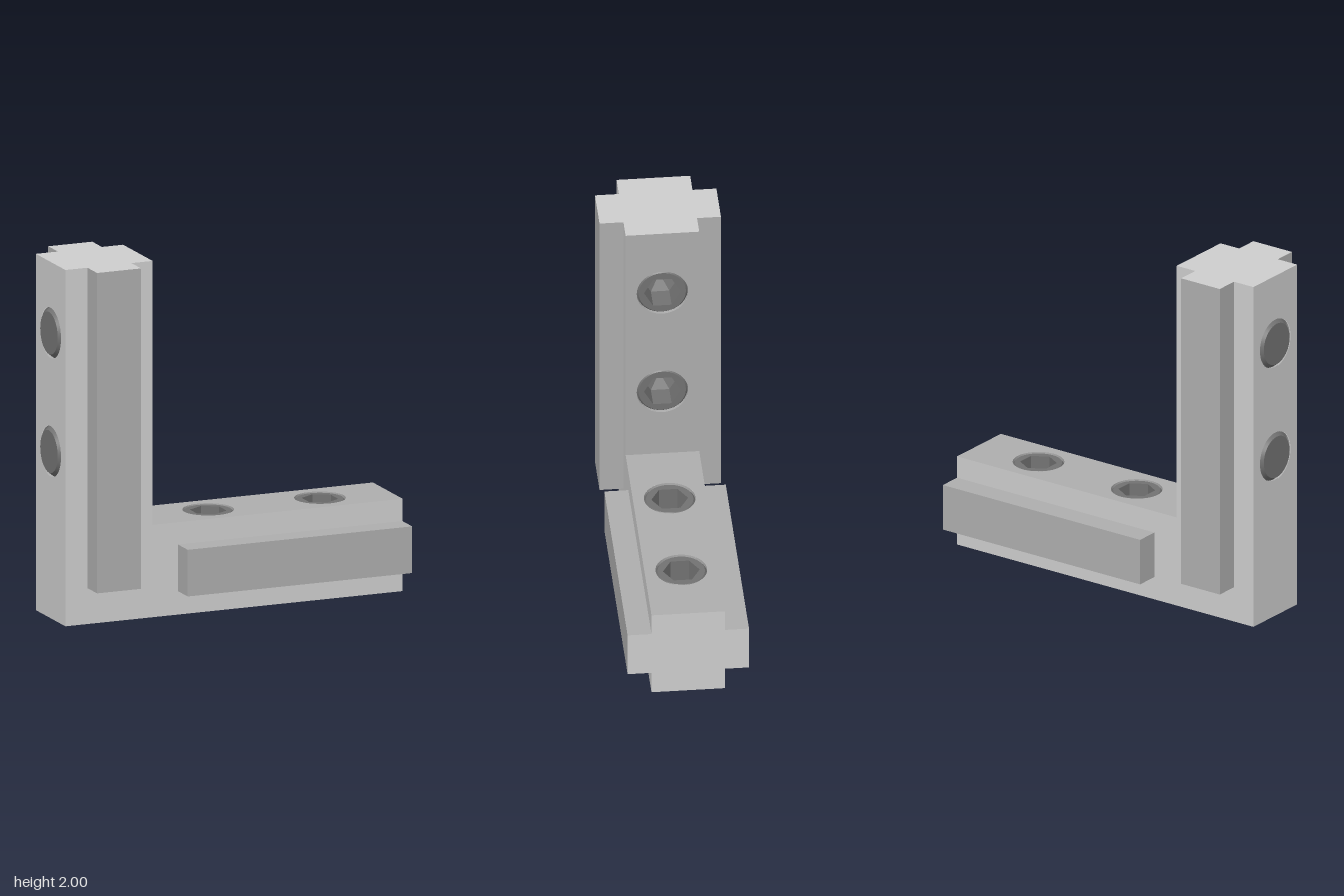
import * as THREE from 'three';
import { toCreasedNormals } from 'three/addons/utils/BufferGeometryUtils.js';

const X0 = -0.99, X1 = 1, XI = -0.475;   // outer, end and inner x of the bracket
const Y0 = 0.015, Y1 = 2, YI = 0.53;     // outer, end and inner y of the bracket
const HALF = 0.2, RAIL = 0.33;           // half depth of the core and of the rails
const HOLE = 0.14;
const UPRIGHT_HOLES = [0.945, 1.605], FOOT_HOLES = [-0.06, 0.6];

function material(name, color) {
  const m = new THREE.MeshStandardMaterial({ color, side: THREE.DoubleSide });
  m.name = name;
  return m;
}

export function createModel() {
  const light = material('light grey metal', 0xcdcdcd);
  const mid = material('mid grey metal', 0xadadad);
  const dark = material('dark grey screw', 0x727272);

  const model = new THREE.Group();
  model.name = 'cornerBracket';

  const add = (parent, name, geometry, mat) => {
    const mesh = new THREE.Mesh(geometry, mat);
    mesh.name = name;
    parent.add(mesh);
    return mesh;
  };

  // Flat rectangular face with round holes
  const panel = (name, mat, [ax, ay, bx, by], holes = []) => {
    const shape = new THREE.Shape([[ax, ay], [bx, ay], [bx, by], [ax, by]].map(p => new THREE.Vector2(...p)));
    for (const [x, y] of holes) {
      shape.holes.push(new THREE.Path().absarc(x, y, HOLE, 0, Math.PI * 2, true));
    }
    return add(model, name, new THREE.ShapeGeometry(shape, 24), mat);
  };

  // L-shaped side faces
  const outline = new THREE.Shape([
    [X0, Y0], [X1, Y0], [X1, YI], [XI, YI], [XI, Y1], [X0, Y1],
  ].map(p => new THREE.Vector2(...p)));
  for (const s of [1, -1]) {
    const side = add(model, s > 0 ? 'frontFace' : 'backFace', new THREE.ShapeGeometry(outline), light);
    side.position.z = s * HALF;
    if (s < 0) side.geometry.scale(-1, 1, 1), side.rotation.y = Math.PI, side.geometry.index.array.reverse();
  }

  // Faces across the depth of the upright and the foot
  const upright = (name, mat, x, y0, y1, dir, holes) => {
    const p = panel(name, mat, [-HALF, y0, HALF, y1], holes.map(y => [0, y]));
    p.position.x = x;
    p.rotation.y = dir * Math.PI / 2;
  };
  const foot = (name, mat, y, x0, x1, dir, holes) => {
    const p = panel(name, mat, [x0, -HALF, x1, HALF], holes.map(x => [x, 0]));
    p.position.y = y;
    p.rotation.x = -dir * Math.PI / 2;
  };
  upright('uprightOuterFace', light, X0, Y0, Y1, -1, UPRIGHT_HOLES);
  upright('uprightInnerFace', mid, XI, YI, Y1, 1, UPRIGHT_HOLES);
  upright('footEnd', light, X1, Y0, YI, 1, []);
  foot('footOuterFace', light, Y0, X0, X1, -1, FOOT_HOLES);
  foot('footInnerFace', mid, YI, XI, X1, 1, FOOT_HOLES);
  foot('uprightEnd', light, Y1, X0, XI, 1, []);

  // Slot rails on both sides, each with its free end in the light colour
  const rail = (name, x0, y0, x1, y1, endFace) => {
    for (const s of [1, -1]) {
      const mats = Array(6).fill(mid);
      mats[endFace] = light;
      const mesh = add(model, name, new THREE.BoxGeometry(x1 - x0, y1 - y0, RAIL - HALF), mats);
      mesh.position.set((x0 + x1) / 2, (y0 + y1) / 2, s * (HALF + RAIL) / 2);
    }
  };
  rail('uprightRail', -0.86, 0.215, -0.6, Y1, 2);
  rail('footRail', -0.325, 0.145, X1, 0.405, 0);

  // Set screw: chamfered shaft, hexagonal socket with a conical floor
  const screw = (length) => {
    const g = new THREE.Group();
    g.name = 'setScrew';
    const top = length - 0.004, depth = 0.13, hexR = 0.1, coneH = 0.045;
    const profile = [[0, 0], [0.118, 0], [0.139, 0.026], [0.139, top - 0.014], [0.128, top]]
      .map(p => new THREE.Vector2(...p));
    add(g, 'shaft', toCreasedNormals(new THREE.LatheGeometry(profile, 40), 0.5), dark);

    const ring = new THREE.Shape().absarc(0, 0, 0.128, 0, Math.PI * 2);
    const hex = [...Array(6).keys()].map(i => {
      const a = Math.PI / 2 - i * Math.PI / 3;
      return new THREE.Vector2(hexR * Math.cos(a), hexR * Math.sin(a));
    });
    ring.holes.push(new THREE.Path(hex));
    add(g, 'screwFace', new THREE.ShapeGeometry(ring, 20).rotateX(-Math.PI / 2).translate(0, top, 0), dark);

    const walls = new THREE.CylinderGeometry(hexR, hexR, depth, 6, 1, true).translate(0, top - depth / 2, 0);
    add(g, 'socketWalls', toCreasedNormals(walls, 0.1), dark);
    const floor = new THREE.ConeGeometry(hexR, coneH, 6, 1, true).rotateX(Math.PI)
      .translate(0, top - depth - coneH / 2, 0);
    add(g, 'socketFloor', toCreasedNormals(floor, 0.05), dark);

    const bore = new THREE.CylinderGeometry(HOLE, HOLE, length - 0.015, 40, 1, true)
      .translate(0, (length + 0.015) / 2, 0);
    add(g, 'bore', bore, mid);
    model.add(g);
    return g;
  };
  for (const y of UPRIGHT_HOLES) {
    const s = screw(XI + 1);
    s.position.set(-1, y, 0);
    s.rotation.z = -Math.PI / 2;
  }
  for (const x of FOOT_HOLES) screw(YI).position.set(x, 0, 0);

  return model;
}
